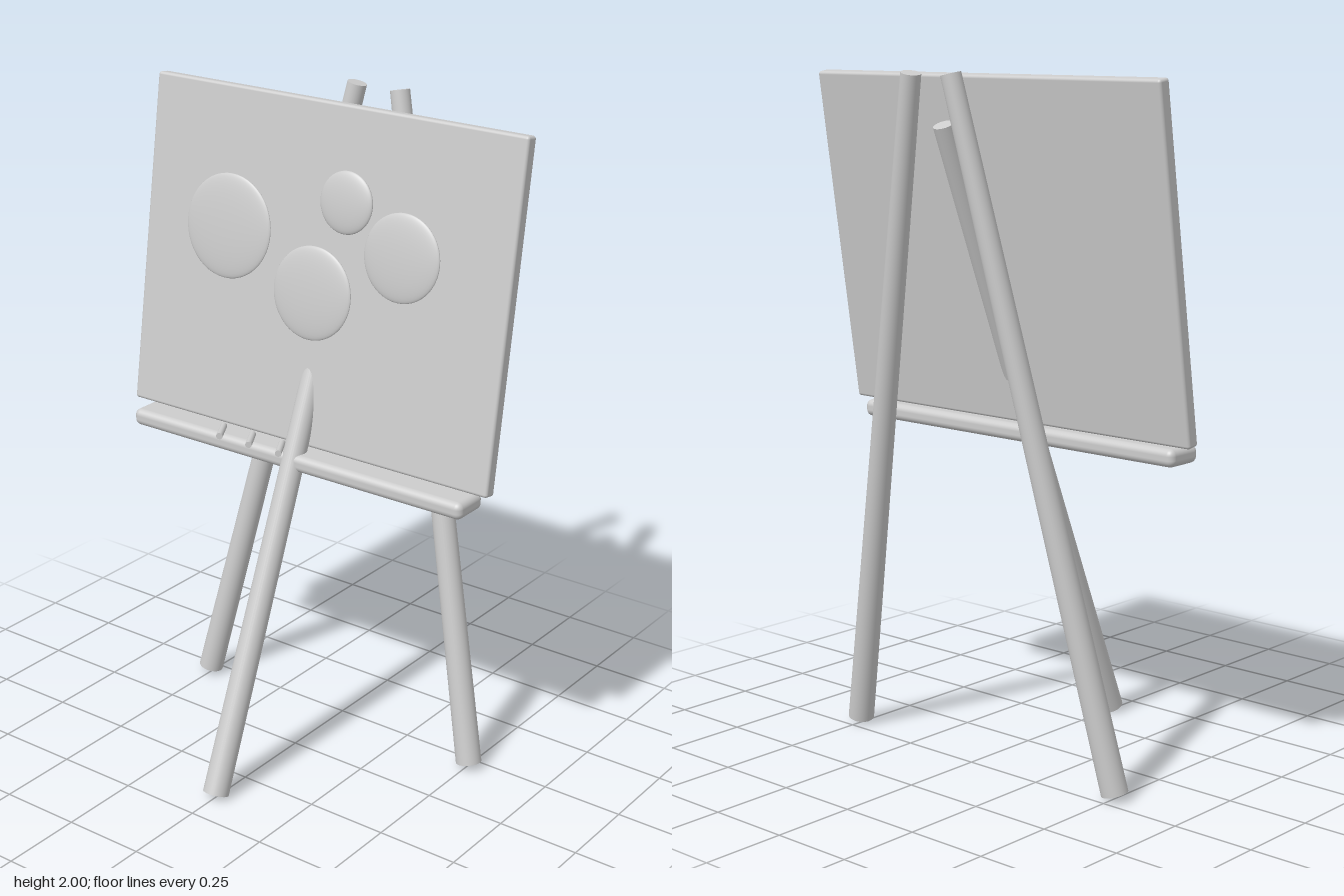
import * as THREE from 'three';
import { RoundedBoxGeometry } from 'three/addons/geometries/RoundedBoxGeometry.js';

export function createModel() {
  const easel = new THREE.Group();
  easel.name = 'easel';
  const grey = new THREE.MeshStandardMaterial({ color: 0xcccccc });
  grey.name = 'plain grey';

  function add(parent, name, geometry, x = 0, y = 0, z = 0) {
    const mesh = new THREE.Mesh(geometry, grey);
    mesh.name = name;
    mesh.position.set(x, y, z);
    parent.add(mesh);
    return mesh;
  }

  // Round rod between two points, tapering from r0 to r1
  function rod(name, from, to, r0, r1, sides = 32) {
    const a = new THREE.Vector3(...from);
    const b = new THREE.Vector3(...to);
    const dir = b.clone().sub(a);
    const mesh = add(easel, name, new THREE.CylinderGeometry(r1, r0, dir.length(), sides));
    mesh.position.copy(a).add(b).multiplyScalar(0.5);
    mesh.quaternion.setFromUnitVectors(new THREE.Vector3(0, 1, 0), dir.normalize());
  }

  // Tripod: one leg leaning back through the board, two splayed behind it
  rod('frontLeg', [0, 0.015, 0.39], [0, 1.853, -0.348], 0.039, 0.03);
  for (const [name, s] of [['leftBackLeg', 1], ['rightBackLeg', -1]]) {
    rod(name, [s * 0.505, 0.019, -0.207], [s * 0.075, 1.993, -0.397], 0.039, 0.029);
  }

  // Tilted canvas, with its raised paint spots in the same frame
  const tilt = 0.147;
  const thickness = 0.042;
  const board = new THREE.Group();
  board.name = 'board';
  board.position.set(0, 1.49, -0.121);
  board.rotation.x = -tilt;
  easel.add(board);
  add(board, 'canvas', new RoundedBoxGeometry(1.284, 1.005, thickness, 3, 0.009));

  const spots = [[-0.32, 1.583, 0.155], [0, 1.445, 0.137], [0.09, 1.72, 0.09], [0.293, 1.6, 0.127]];
  for (const [x, y, r] of spots) {
    const spot = add(board, 'paintSpot', new THREE.SphereGeometry(1, 40, 24),
      x, (y - 1.49) / Math.cos(tilt), thickness / 2 + 0.015);
    spot.scale.set(r, r, 0.016);
  }

  // Ledge under the canvas and the small sticks lying on it
  add(easel, 'tray', new RoundedBoxGeometry(1.194, 0.052, 0.122, 4, 0.02), 0, 0.96, -0.025);
  for (const x of [-0.255, -0.145, -0.035]) {
    rod('stick', [x - 0.021, 0.995, -0.01], [x + 0.021, 0.995, 0.064], 0.01, 0.01, 16);
  }
  return easel;
}
